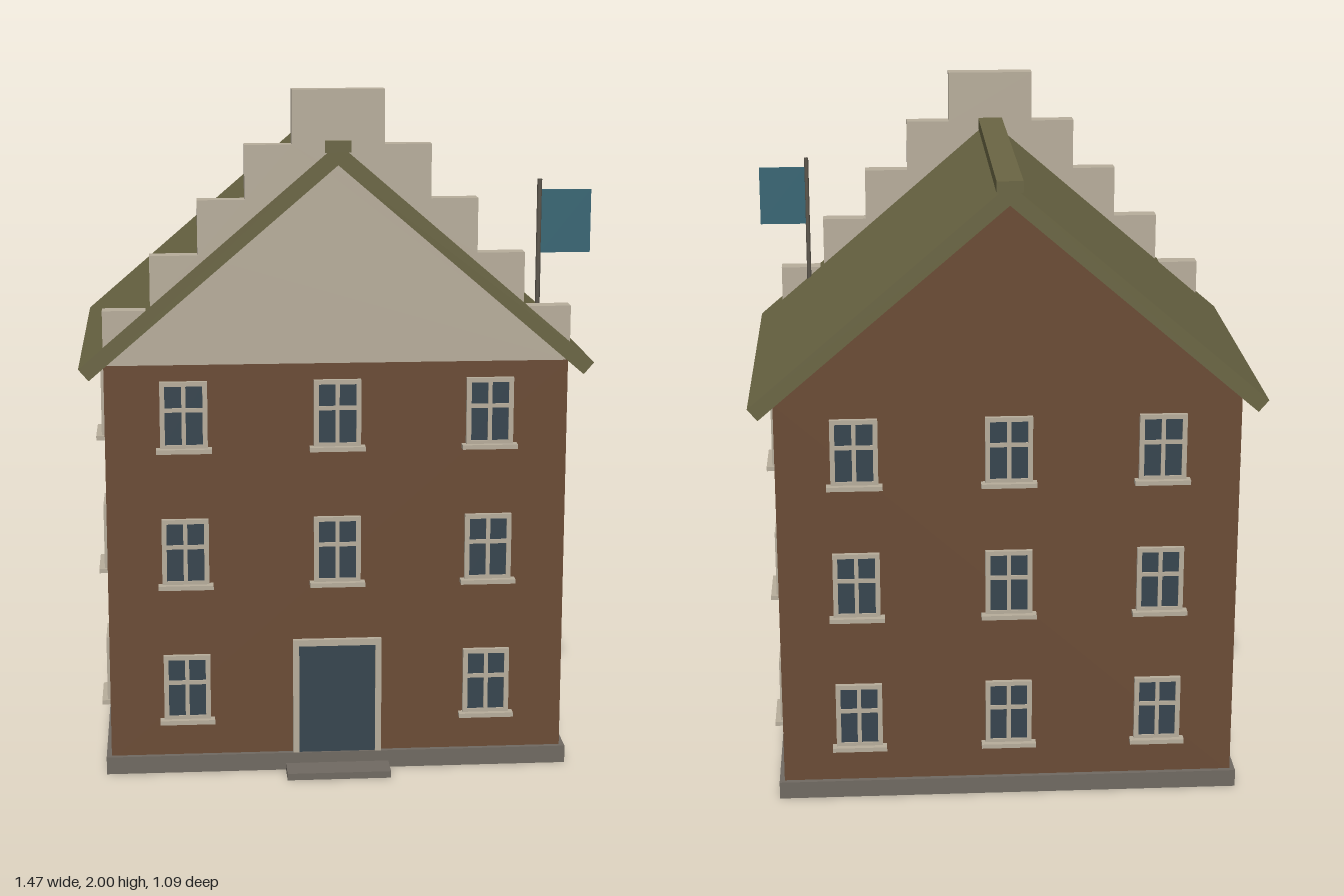
import * as THREE from 'three';

const mat = (name, color) => {
  const m = new THREE.MeshStandardMaterial({ color });
  m.name = name;
  return m;
};

export function createModel() {
  const brick = mat('brick', 0x6b4c36);
  const plaster = mat('pale plaster', 0xb8ae9c);
  const roofing = mat('olive roof', 0x6b6644);
  const stone = mat('grey stone', 0x706a62);
  const glass = mat('dark glass', 0x37454f);
  const metal = mat('pole metal', 0x5c564c);
  const cloth = mat('teal cloth', 0x386674);

  const house = new THREE.Group();
  house.name = 'gabledHouse';

  const add = (parent, name, geometry, material) => {
    const mesh = new THREE.Mesh(geometry, material);
    mesh.name = name;
    parent.add(mesh);
    return mesh;
  };
  // Box given by its limits on each axis
  const box = (parent, name, material, x0, x1, y0, y1, z0, z1) => {
    const mesh = add(parent, name, new THREE.BoxGeometry(x1 - x0, y1 - y0, z1 - z0), material);
    mesh.position.set((x0 + x1) / 2, (y0 + y1) / 2, (z0 + z1) / 2);
    return mesh;
  };
  const outline = pts => new THREE.Shape(pts.map(p => new THREE.Vector2(...p)));
  // Outline in x, y pulled from z0 to z1
  const prism = (parent, name, material, shape, z0, z1) => {
    const g = new THREE.ExtrudeGeometry(shape, { depth: z1 - z0, bevelEnabled: false });
    return add(parent, name, g.translate(0, 0, z0), material);
  };
  const rect = (x0, x1, y0, y1) => [[x0, y0], [x1, y0], [x1, y1], [x0, y1]];

  // Walls, plinth and doorstep
  const front = 0.445, back = -0.51, side = 0.665;
  prism(house, 'walls', brick,
    outline([[-side, 0.04], [side, 0.04], [side, 1.222], [0, 1.792], [-side, 1.222]]), back, front);
  box(house, 'plinth', stone, -0.68, 0.68, 0, 0.052, -0.525, 0.46);
  box(house, 'doorstep', stone, -0.152, 0.152, 0, 0.02, 0.45, 0.545);

  // Roof slabs and ridge cap
  for (const s of [1, -1]) {
    const pts = [[0, 1.79], [s * 0.706, 1.186], [s * 0.735, 1.22], [0, 1.85]];
    prism(house, s > 0 ? 'leftRoofSlab' : 'rightRoofSlab', roofing, outline(pts), -0.545, 0.475);
  }
  box(house, 'ridgeCap', roofing, -0.037, 0.037, 1.825, 1.858, -0.546, 0.476);

  // Stepped front gable
  const steps = [[0.665, 1.385], [0.53, 1.54], [0.395, 1.695], [0.262, 1.848], [0.13, 2]];
  const half = [[0.665, 1.228]];
  steps.forEach(([x, y], i) => {
    half.push([x, y]);
    if (i < steps.length - 1) half.push([steps[i + 1][0], y]);
  });
  const mirrored = half.map(([x, y]) => [-x, y]).reverse();
  prism(house, 'steppedGable', plaster, outline([...half, ...mirrored]), 0.42, 0.47);

  // Window facing +z, its origin at the bottom centre of the frame
  const frameShape = outline(rect(-0.068, 0.068, 0, 0.196));
  for (const [x0, x1] of [[-0.054, -0.006], [0.006, 0.054]])
    for (const [y0, y1] of [[0.012, 0.108], [0.12, 0.183]])
      frameShape.holes.push(new THREE.Path(rect(x0, x1, y0, y1).reverse().map(p => new THREE.Vector2(...p))));
  const addWindow = (x, y, z, turn) => {
    const w = new THREE.Group();
    w.name = 'window';
    prism(w, 'windowFrame', plaster, frameShape, 0, 0.014);
    box(w, 'windowGlass', glass, -0.06, 0.06, 0.005, 0.19, 0, 0.009);
    box(w, 'windowSill', plaster, -0.08, 0.08, -0.011, 0.002, 0, 0.03);
    w.position.set(x, y, z);
    w.rotation.y = turn;
    house.add(w);
  };
  [0.164, 0.575, 0.98].forEach((y, floor) => {
    for (const x of [-0.44, 0, 0.44]) {
      if (floor > 0 || x !== 0) addWindow(x, y, front, 0);
      addWindow(x, y, back, Math.PI);
    }
    for (const z of [0.204, -0.27])
      for (const s of [1, -1]) addWindow(s * side, y, z, s * Math.PI / 2);
  });

  // Front door
  prism(house, 'doorFrame', plaster, outline([[-0.13, 0.052], [-0.112, 0.052], [-0.112, 0.381], [0.112, 0.381],
    [0.112, 0.052], [0.13, 0.052], [0.13, 0.4], [-0.13, 0.4]]), front, 0.46);
  box(house, 'doorPanel', glass, -0.113, 0.113, 0.052, 0.382, front, 0.454);

  // Flag on its pole
  const pole = add(house, 'flagPole', new THREE.CylinderGeometry(0.007, 0.007, 0.39, 10), metal);
  pole.position.set(0.578, 1.545, 0.41);
  box(house, 'flag', cloth, 0.584, 0.726, 1.53, 1.71, 0.405, 0.413);

  return house;
}
